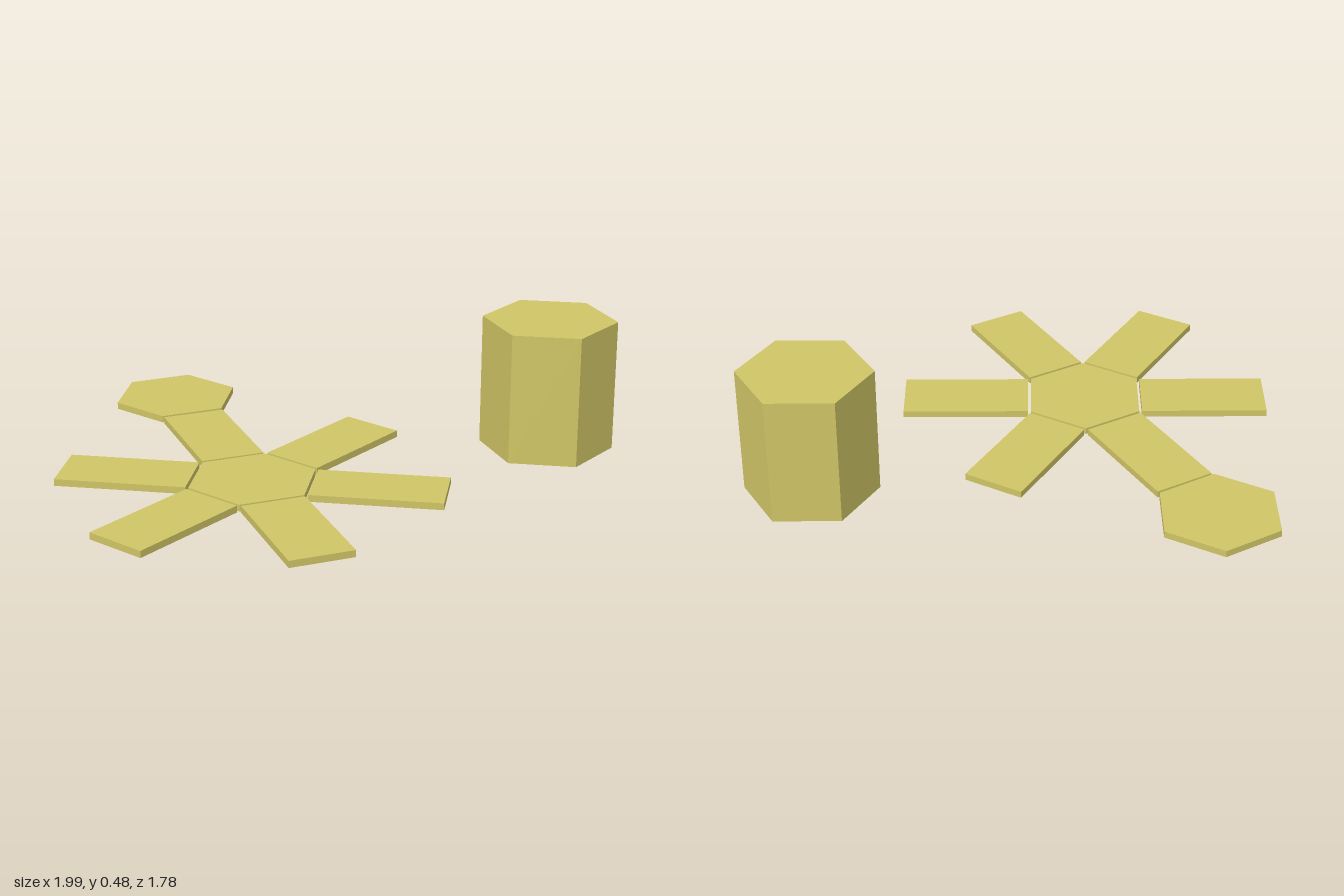
import * as THREE from 'three';

const material = new THREE.MeshStandardMaterial({ color: 0xd0c566, flatShading: true });
const THICK = 0.025;

function add(group, name, geometry, x, y, z, turn = 0) {
  const mesh = new THREE.Mesh(geometry, material);
  mesh.name = name;
  mesh.position.set(x, y, z);
  mesh.rotation.y = turn;
  group.add(mesh);
  return mesh;
}

// six-sided solid; unturned, its corners point along z
const hexagon = (radius, height) => new THREE.CylinderGeometry(radius, radius, height, 6);

export function createModel() {
  const model = new THREE.Group();
  model.name = 'hexagonalPrismAndNet';

  // Unfolded net: base, six side panels and the lid
  const net = new THREE.Group();
  net.name = 'net';
  model.add(net);
  const cx = -0.347, cz = 0.203, y = 0.0195;
  add(net, 'netBase', hexagon(0.234, THICK), cx, y, cz, Math.PI / 6);

  const panel = new THREE.BoxGeometry(0.23, THICK, 0.467);
  for (let i = 0; i < 6; i++) {
    const a = (i * Math.PI) / 3;
    const reach = 0.447;
    add(net, 'sidePanel' + (i + 1), panel, cx + Math.sin(a) * reach, y, cz + Math.cos(a) * reach, a);
  }
  add(net, 'netLid', hexagon(0.233, THICK), -0.351, 0.021, -0.69, Math.PI / 6 + 0.01);

  // Assembled prism beside the net
  add(model, 'prism', hexagon(0.242, 0.482), 0.788, 0.241, 0.205);

  return model;
}
